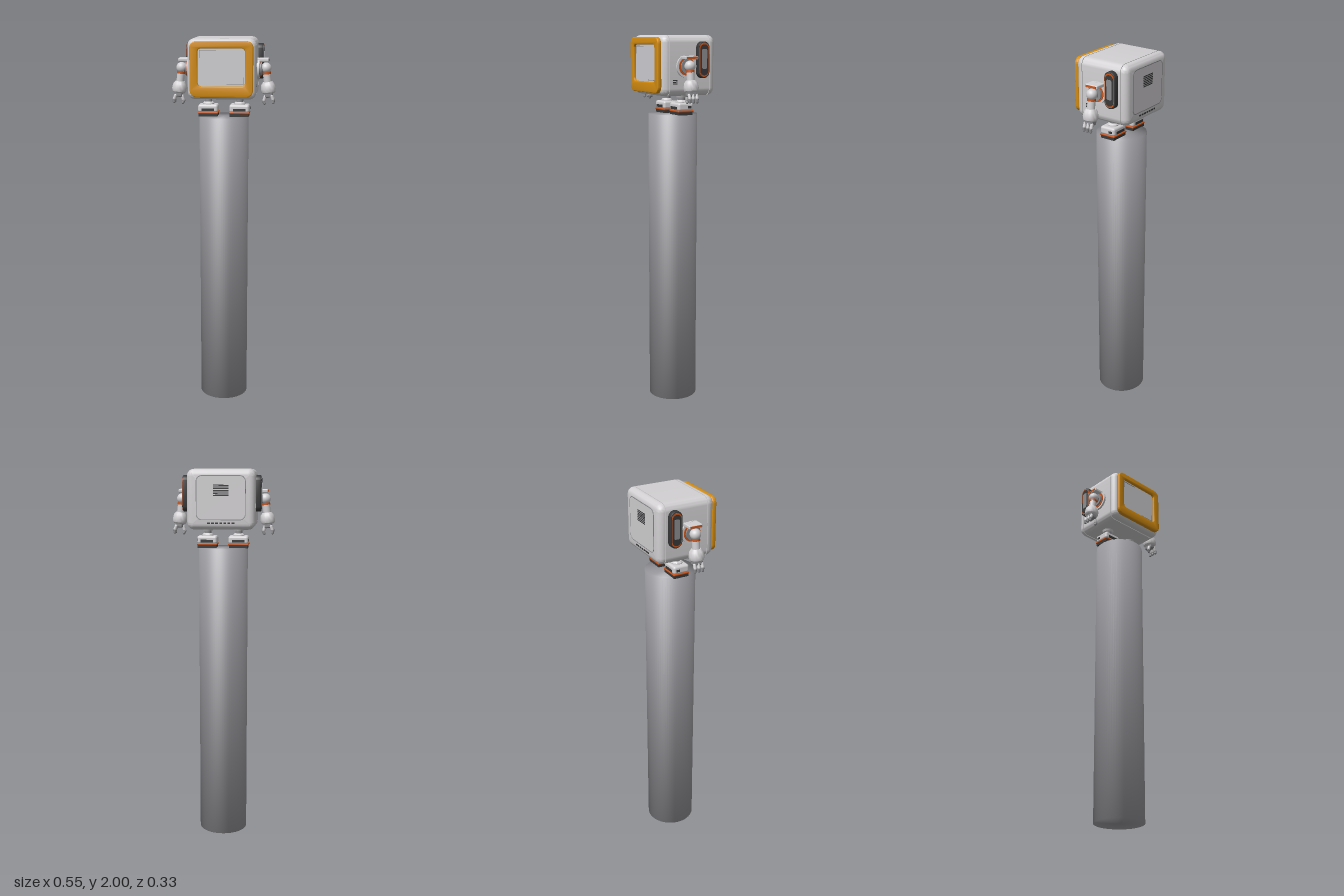
import * as THREE from 'three';
import { toCreasedNormals } from 'three/addons/utils/BufferGeometryUtils.js';
import { RoundedBoxGeometry } from 'three/addons/geometries/RoundedBoxGeometry.js';

const mat = (name, color) => Object.assign(new THREE.MeshStandardMaterial({ color }), { name });

// Rounded rectangle outline, centred on (cx, cy)
function roundRect(w, h, r, cx = 0, cy = 0, PathType = THREE.Shape) {
  const p = new PathType(), x = w / 2 - r, y = h / 2 - r;
  p.absarc(cx + x, cy + y, r, 0, Math.PI / 2);
  p.absarc(cx - x, cy + y, r, Math.PI / 2, Math.PI);
  p.absarc(cx - x, cy - y, r, Math.PI, Math.PI * 1.5);
  p.absarc(cx + x, cy - y, r, Math.PI * 1.5, Math.PI * 2);
  p.closePath();
  return p;
}

// Plate standing on z = 0 with softly bevelled edges
function plate(shape, depth, bevel = 0) {
  const g = new THREE.ExtrudeGeometry(shape, {
    depth: depth - 2 * bevel, curveSegments: 10, bevelEnabled: bevel > 0,
    bevelSize: bevel, bevelOffset: -bevel, bevelThickness: bevel, bevelSegments: 3,
  });
  g.translate(0, 0, bevel);
  return toCreasedNormals(g, 0.6);
}

// Closed skin through rounded rectangles along z; profile is [z, inset]
function loft(w, h, r, profile) {
  const pos = [], idx = [], n = 36;
  for (const [z, inset] of profile) {
    for (let i = 0; i < n; i++) {
      const c = Math.floor(i / 9), a = (c + (i % 9) / 8) * Math.PI / 2;
      const sx = c === 0 || c === 3 ? 1 : -1, sy = c < 2 ? 1 : -1;
      pos.push(sx * (w / 2 - r) + (r - inset) * Math.cos(a), sy * (h / 2 - r) + (r - inset) * Math.sin(a), z);
    }
  }
  const m = profile.length;
  pos.push(0, 0, profile[0][0], 0, 0, profile[m - 1][0]);
  for (let i = 0; i < n; i++) {
    const j = (i + 1) % n;
    for (let k = 0; k < m - 1; k++) {
      const a = k * n, b = a + n;
      idx.push(a + i, a + j, b + j, a + i, b + j, b + i);
    }
    idx.push(m * n, j, i, m * n + 1, (m - 1) * n + i, (m - 1) * n + j);
  }
  const g = new THREE.BufferGeometry();
  g.setAttribute('position', new THREE.Float32BufferAttribute(pos, 3));
  g.setIndex(idx);
  return toCreasedNormals(g, 0.6);
}

export function createModel() {
  const root = new THREE.Group();
  root.name = 'robotOnColumn';
  const shell = mat('shellGrey', 0xd2d0d2), stone = mat('columnGrey', 0x98979c);
  const yellow = mat('frameYellow', 0xd48c10), orange = mat('accentOrange', 0xc8551c);
  const dark = mat('darkGrey', 0x38383a), metal = mat('jointGrey', 0x8c8c90);
  const glass = mat('screenGrey', 0xcfcfd3);

  const add = (name, geo, material, x = 0, y = 0, z = 0, parent = root) => {
    const m = new THREE.Mesh(geo, material);
    m.name = name;
    m.position.set(x, y, z);
    parent.add(m);
    return m;
  };
  const box = (w, h, d) => new THREE.BoxGeometry(w, h, d);
  const cyl = (rt, rb, h, n = 24) => new THREE.CylinderGeometry(rt, rb, h, n);
  const lathe = pts => toCreasedNormals(new THREE.LatheGeometry(pts.map(p => new THREE.Vector2(...p)), 24), 0.7);

  // Column, with softened normals at both rims
  const col = cyl(0.131, 0.131, 1.59, 64), p = col.attributes.position, nrm = col.attributes.normal;
  const v = new THREE.Vector3();
  for (let i = 0; i < p.count; i++) {
    const up = Math.sign(p.getY(i));
    v.set(p.getX(i), 0.08 * up, p.getZ(i)).normalize();
    nrm.setXYZ(i, v.x, v.y, v.z);
  }
  add('column', col, stone, 0, 0.795, -0.008);

  // Head body: rounded ends and two grooves
  const arc = [0, 1, 2, 3, 4, 5].map(i => i * Math.PI / 10), R = 0.032;
  const back = arc.map(a => [-0.166 + R * (1 - Math.cos(a)), R * (1 - Math.sin(a))]);
  const front = arc.map(a => [0.143 - R * (1 - Math.cos(a)), R * (1 - Math.sin(a))]).reverse();
  const groove = z => [[z - 0.002, 0], [z - 0.002, 0.004], [z + 0.002, 0.004], [z + 0.002, 0]];
  const cy = 1.846;
  add('headBody', loft(0.355, 0.308, 0.038, [...back, ...groove(-0.129), ...groove(0.103), ...front]), shell, 0, cy);

  // Face frame and screen
  const frame = roundRect(0.324, 0.282, 0.035);
  frame.holes.push(roundRect(0.242, 0.19, 0.018, 0, 0.009, THREE.Path));
  add('faceFrame', plate(frame, 0.022, 0.005), yellow, 0, 1.848, 0.141);
  add('screen', box(0.25, 0.2, 0.008), glass, 0, 1.857, 0.146);
  for (const s of [-1, 1]) {
    add('screenMarkBar', box(0.085, 0.003, 0.002), metal, s * 0.07, 1.857 - s * 0.086, 0.151);
    add('screenMarkPost', box(0.003, 0.04, 0.002), metal, s * 0.112, 1.857 - s * 0.068, 0.151);
  }

  // Back panel with outline, vent slats and lower slots
  const rim = roundRect(0.256, 0.226, 0.03);
  rim.holes.push(roundRect(0.248, 0.218, 0.026, 0, 0, THREE.Path));
  add('backPanelOutline', plate(rim, 0.003), metal, 0, 1.855, -0.168);
  add('backPanel', plate(roundRect(0.248, 0.218, 0.026), 0.003), shell, 0, 1.855, -0.168);
  for (let i = 0; i < 7; i++) add('ventSlat', box(0.08, 0.005, 0.003), dark, 0, 1.867 + i * 0.0085, -0.168);
  for (let i = 0; i < 7; i++) add('lowerSlot', box(0.014, 0.008, 0.003), dark, (i - 3) * 0.021, 1.727, -0.166);

  // Small side marking
  for (let i = 0; i < 3; i++) add('sideMark', box(0.003, 0.005, 0.026), dark, 0.177, 1.756 + i * 0.008, 0.07);

  for (const s of [-1, 1]) {
    const side = s > 0 ? 'left' : 'right';
    const group = part => {
      const g = new THREE.Group();
      g.name = side + part;
      root.add(g);
      return g;
    };

    // Ear pod, built as stacked pills facing sideways
    const ear = group('Ear');
    ear.position.set(s * 0.172, 1.875, -0.083);
    ear.rotation.y = s * Math.PI / 2;
    const pill = (name, w, h, d, m, bevel) => add(name, plate(roundRect(w, h, w / 2 - 0.0005), d, bevel), m, 0, 0, 0, ear);
    pill('earPod', 0.066, 0.186, 0.032, dark, 0.005);
    pill('earRim', 0.054, 0.172, 0.034, orange, 0);
    pill('earFace', 0.046, 0.156, 0.0355, dark, 0);
    add('earBar', plate(roundRect(0.03, 0.1, 0.008), 0.037), metal, 0, 0.005, 0, ear);

    // Shoulder
    const arm = group('Arm');
    const along = (name, r, x0, x1, m) =>
      add(name, cyl(r, r, x1 - x0, 32).rotateZ(Math.PI / 2), m, s * (x0 + x1) / 2, 1.842, 0.01, arm);
    along('shoulderDisc', 0.056, 0.174, 0.188, shell);
    along('shoulderRing', 0.045, 0.186, 0.192, orange);
    along('shoulderHub', 0.037, 0.188, 0.2, metal);
    along('shoulderAxle', 0.022, 0.19, 0.225, metal);
    add('shoulderPad', new RoundedBoxGeometry(0.062, 0.018, 0.074, 3, 0.005), shell, s * 0.205, 1.887, 0.005, arm);
    add('shoulderPadEdge', box(0.002, 0.01, 0.062), orange, s * 0.2365, 1.887, 0.005, arm);

    // Arm hanging down and leaning slightly out
    const lower = new THREE.Group();
    lower.name = 'lowerArm';
    lower.position.set(s * 0.222, 1.845, 0.01);
    lower.rotation.z = s * 0.12;
    arm.add(lower);
    add('upperArm', new THREE.SphereGeometry(0.028, 24, 16), shell, 0, 0, 0, lower);
    add('elbowBand', cyl(0.022, 0.022, 0.012), orange, 0, -0.026, 0, lower);
    add('elbow', cyl(0.02, 0.02, 0.05), shell, 0, -0.05, 0, lower);
    add('forearm', lathe([[0, -0.132], [0.03, -0.132], [0.037, -0.125], [0.039, -0.108], [0.035, -0.085],
      [0.025, -0.072], [0, -0.07]]), shell, 0, 0, 0, lower);
    add('palm', new RoundedBoxGeometry(0.04, 0.03, 0.052, 3, 0.008), metal, 0, -0.138, 0, lower);
    const finger = (x, z, tilt) => {
      add('fingerBase', new THREE.CapsuleGeometry(0.0085, 0.018, 4, 10), shell, x, -0.155, z, lower).rotation.z = tilt;
      add('fingerTip', new THREE.CapsuleGeometry(0.007, 0.014, 4, 10), metal, x + Math.sin(tilt) * 0.016, -0.175, z, lower)
        .rotation.z = -tilt;
    };
    for (let i = -1; i <= 1; i++) finger(s * 0.016, i * 0.021, s * 0.25);
    finger(-s * 0.024, 0.012, -s * 0.4);

    // Leg and foot
    const leg = group('Leg'), lx = s * 0.083, lz = -0.016;
    add('hip', cyl(0.034, 0.028, 0.014), shell, lx, 1.687, lz, leg);
    add('shin', cyl(0.019, 0.019, 0.05), metal, lx, 1.663, lz, leg);
    add('ankle', lathe([[0, 0], [0.03, 0], [0.03, 0.008], [0.022, 0.016], [0, 0.016]]), shell, lx, 1.65, lz, leg);
    add('foot', new RoundedBoxGeometry(0.106, 0.042, 0.088, 4, 0.012), shell, lx, 1.632, lz, leg);
    add('footFrontInset', box(0.066, 0.014, 0.003), dark, lx, 1.626, lz + 0.0445, leg);
    add('footBackInset', box(0.066, 0.014, 0.003), dark, lx, 1.626, lz - 0.0445, leg);
    add('footSideInset', box(0.003, 0.012, 0.02), dark, lx + s * 0.053, 1.63, lz - 0.02, leg);
    add('soleStripe', new RoundedBoxGeometry(0.108, 0.01, 0.09, 2, 0.004), orange, lx, 1.609, lz, leg);
    add('sole', box(0.1, 0.016, 0.082), dark, lx, 1.597, lz, leg);
  }
  return root;
}
